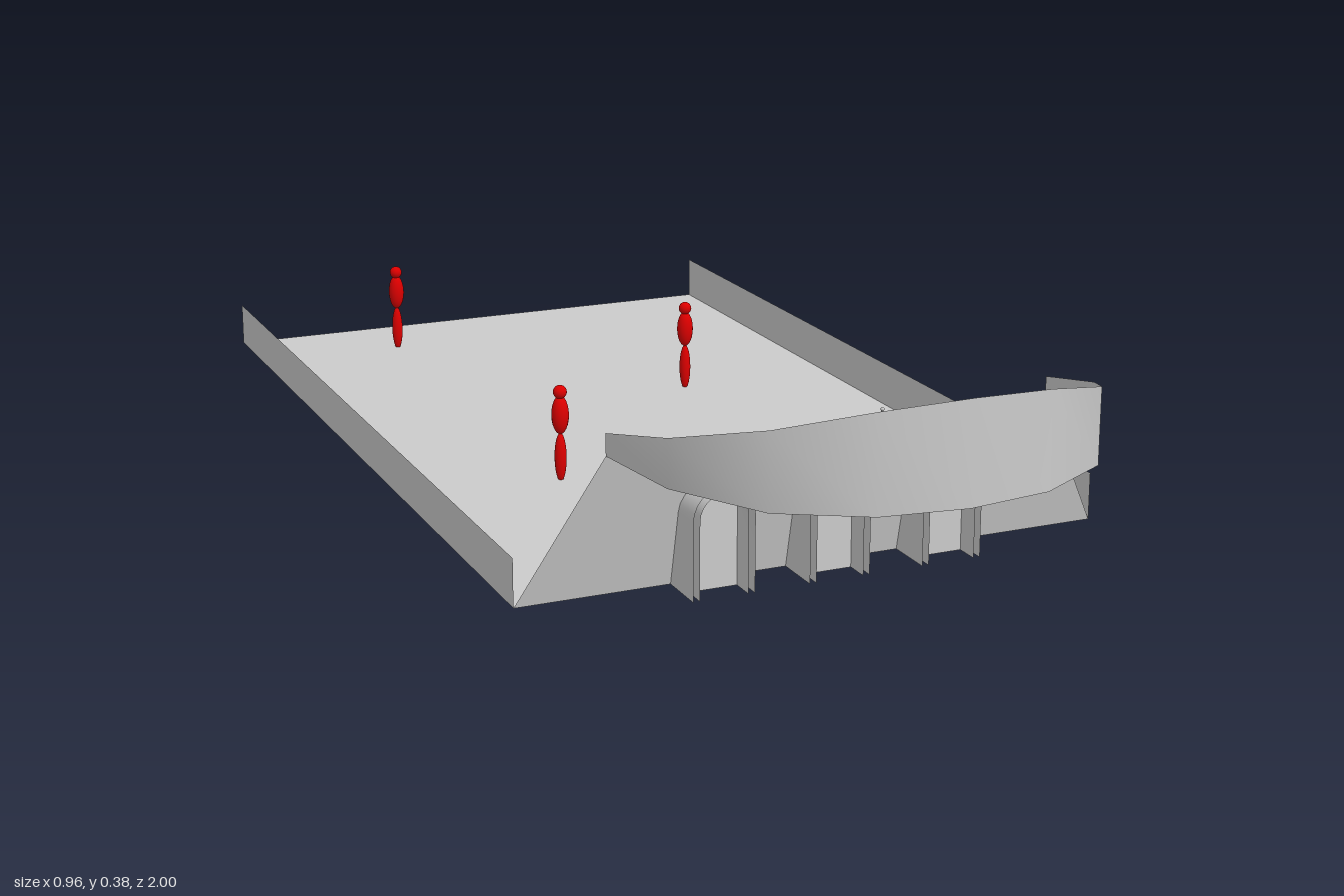
import * as THREE from 'three';

const grey = new THREE.MeshStandardMaterial({ color: 0xcccccc, side: THREE.DoubleSide });
const red = new THREE.MeshStandardMaterial({ color: 0xdd0000 });

function add(parent, name, geometry, material = grey) {
  const mesh = new THREE.Mesh(geometry, material);
  mesh.name = name;
  parent.add(mesh);
  return mesh;
}

// Smooth open sheet between two rows of points
function strip(a, b) {
  const index = [];
  for (let i = 0; i < a.length - 1; i++) {
    const j = i + a.length;
    index.push(i, i + 1, j, i + 1, j + 1, j);
  }
  const g = new THREE.BufferGeometry();
  g.setAttribute('position', new THREE.Float32BufferAttribute([...a, ...b].flat(), 3));
  g.setIndex(index);
  g.computeVertexNormals();
  return g;
}

// Outline of a round-headed arch, from one foot to the other
function archOutline(r, base, spring) {
  const points = [[r, base]];
  for (let i = 0; i <= 12; i++) {
    const a = (i / 12) * Math.PI;
    points.push([r * Math.cos(a), spring + r * Math.sin(a)]);
  }
  points.push([-r, base]);
  return points;
}

const toShape = (pts) => new THREE.Shape(pts.map((p) => new THREE.Vector2(p[0], p[1])));

const FLOOR = 0.004, DECK = 0.232, HALF = 0.48, EDGE = 0.55, TOP_Z = 0.603;

function createArch(x) {
  const arch = new THREE.Group();
  arch.name = 'archway';
  const outer = archOutline(0.049, FLOOR, 0.125);
  const inner = archOutline(0.0385, FLOOR, 0.125);
  const at = (pts, z) => pts.map((p) => [p[0], p[1], z]);
  add(arch, 'archOuter', strip(at(outer, EDGE), at(outer, 0.632)));
  add(arch, 'archInner', strip(at(inner, EDGE), at(inner, 0.632)));
  // rim facing the floor
  add(arch, 'archRim', new THREE.ShapeGeometry(toShape([...outer, ...inner.slice().reverse()])))
    .position.z = EDGE;
  // closed door in front of the sloping wall
  add(arch, 'archDoor', new THREE.ShapeGeometry(toShape(inner))).position.z = 0.592;
  arch.position.x = x;
  return arch;
}

function createFigure(x, z) {
  const figure = new THREE.Group();
  figure.name = 'figure';
  const parts = [['legs', 0.042, 0.01, 0.042], ['torso', 0.115, 0.0145, 0.033], ['head', 0.154, 0.0115, 0.0115]];
  for (const [name, y, r, h] of parts) {
    const part = add(figure, name, new THREE.SphereGeometry(1, 16, 12), red);
    part.scale.set(r, h, r);
    part.position.y = y;
  }
  figure.position.set(x, 0, z);
  return figure;
}

export function createModel() {
  const model = new THREE.Group();
  model.name = 'arena';

  // Floor and low side walls
  const floor = add(model, 'floor', new THREE.PlaneGeometry(2 * HALF, 1 + EDGE).rotateX(-Math.PI / 2));
  floor.position.set(0, FLOOR, (EDGE - 1) / 2);
  for (const s of [-1, 1]) {
    const wall = add(model, 'sideWall', new THREE.PlaneGeometry(1 + EDGE, 0.076).rotateY(s * Math.PI / 2));
    wall.position.set(s * HALF, FLOOR + 0.038, (EDGE - 1) / 2);
  }

  // Leaning wall under the balcony
  add(model, 'slopingWall', strip(
    [[-HALF, FLOOR, EDGE], [HALF, FLOOR, EDGE]],
    [[-0.358, DECK, TOP_Z], [0.358, DECK, TOP_Z]]));
  for (const x of [-0.187, 0, 0.187]) model.add(createArch(x));

  // Balcony: half-round deck with a parapet rising to the front (x, z, top y)
  const half = [[0.358, TOP_Z, 0.266], [0.335, 0.768, 0.304], [0.253, 0.912, 0.346],
    [0.13, 0.982, 0.376], [0, 1, 0.384]];
  const rim = [...half.slice(0, 4).map(([x, z, y]) => [-x, z, y]), ...half.slice().reverse()];
  add(model, 'parapet', strip(
    rim.map(([x, z]) => [x, DECK, z]),
    rim.map(([x, z, y]) => [x, y, z])));
  const deck = toShape(rim.map(([x, z]) => [x, -z]));
  add(model, 'balconyDeck', new THREE.ShapeGeometry(deck).rotateX(-Math.PI / 2)).position.y = DECK;

  // Thin stand on the balcony
  const stand = new THREE.Group();
  stand.name = 'stand';
  add(stand, 'standPole', new THREE.CylinderGeometry(0.0018, 0.0018, 0.09, 8)).position.y = 0.253;
  add(stand, 'standBase', new THREE.CylinderGeometry(0.008, 0.008, 0.003, 12)).position.y = 0.228;
  add(stand, 'standHead', new THREE.SphereGeometry(0.003, 10, 8)).position.y = 0.299;
  stand.position.z = 0.75;
  model.add(stand);

  // Figures on the floor
  const spots = [[-0.21, -0.85], [0.195, -0.375], [-0.21, 0.037], [0, 0.432], [0.187, 0.532]];
  for (const [x, z] of spots) model.add(createFigure(x, z));

  return model;
}
